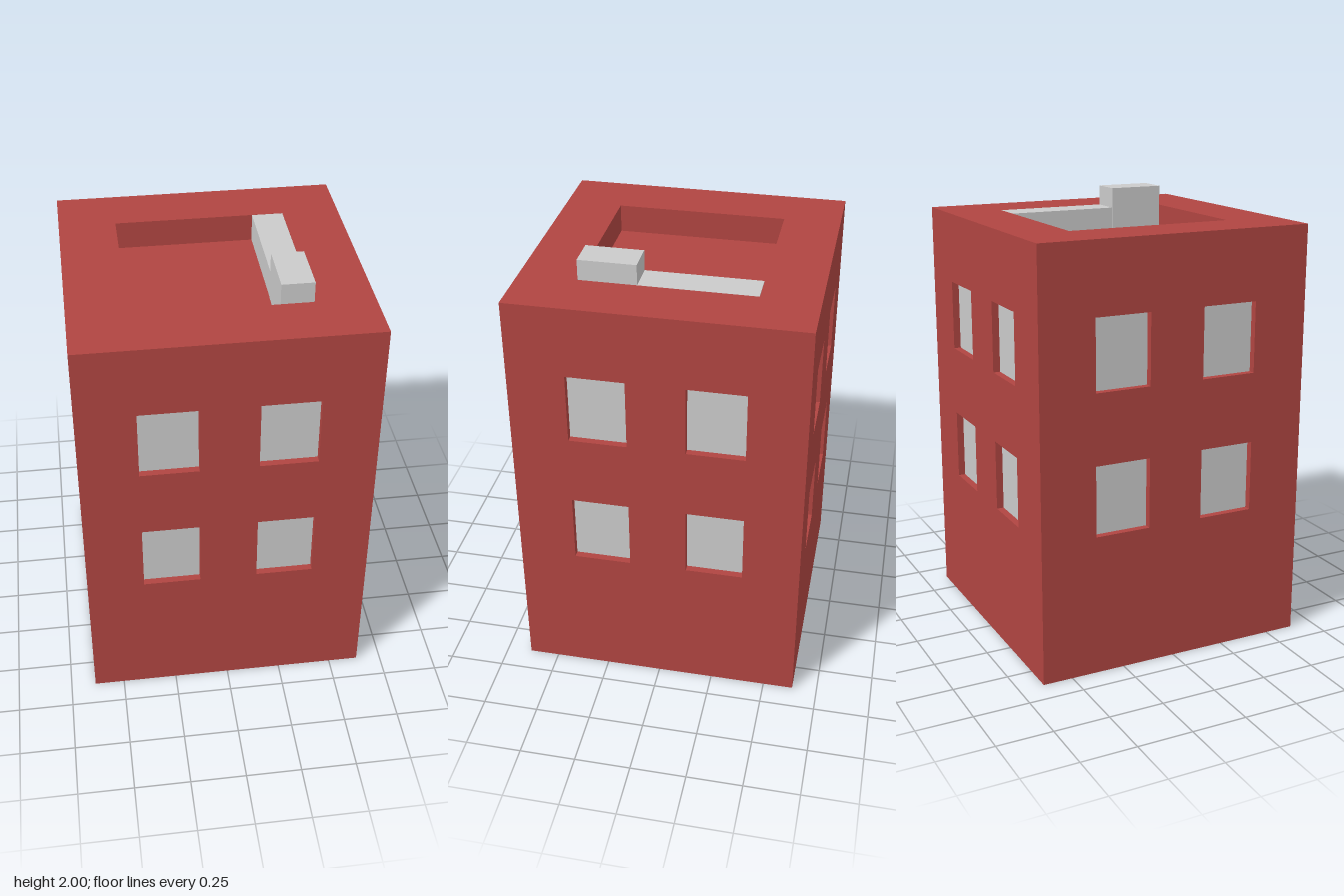
import * as THREE from 'three';

const W = 1.273, H = 1.909;           // building width and height
const brick = new THREE.MeshStandardMaterial({ name: 'red brick', color: 0xb04541, side: THREE.DoubleSide });
const grey = new THREE.MeshStandardMaterial({ name: 'light grey', color: 0xcacaca, side: THREE.DoubleSide });

function add(parent, name, geometry, material, x = 0, y = 0, z = 0) {
  const mesh = new THREE.Mesh(geometry, material);
  mesh.name = name;
  mesh.position.set(x, y, z);
  parent.add(mesh);
  return mesh;
}

// Flat sheet facing +z, with rectangular openings [cx, cy, w, h] sunk to a given depth
function recessedPanel(name, w, h, openings, depth, backName, backMaterial) {
  const panel = new THREE.Group();
  panel.name = name;
  const rect = (Type, cx, cy, rw, rh) => new Type([[-1, -1], [1, -1], [1, 1], [-1, 1]]
    .map(([sx, sy]) => new THREE.Vector2(cx + sx * rw / 2, cy + sy * rh / 2)));
  const shape = rect(THREE.Shape, 0, 0, w, h);
  for (const [cx, cy, ow, oh] of openings) {
    shape.holes.push(rect(THREE.Path, cx, cy, ow, oh));
    for (const s of [-1, 1]) {
      add(panel, 'reveal', new THREE.PlaneGeometry(ow, depth).rotateX(s * Math.PI / 2), brick,
        cx, cy + s * oh / 2, -depth / 2);
      add(panel, 'reveal', new THREE.PlaneGeometry(depth, oh).rotateY(-s * Math.PI / 2), brick,
        cx + s * ow / 2, cy, -depth / 2);
    }
    add(panel, backName, new THREE.PlaneGeometry(ow, oh), backMaterial, cx, cy, -depth);
  }
  add(panel, name + 'Surface', new THREE.ShapeGeometry(shape), brick);
  return panel;
}

export function createModel() {
  const model = new THREE.Group();
  model.name = 'building';

  // Four walls, each with two rows of two sunken windows
  const windows = [];
  for (const x of [-0.255, 0.255])
    for (const y of [0.796, 1.432]) windows.push([x, y - H / 2, 0.255, 0.318]);
  ['frontWall', 'rightWall', 'backWall', 'leftWall'].forEach((name, i) => {
    const wall = recessedPanel(name, W, H, windows, 0.032, 'windowPane', grey);
    const angle = -i * Math.PI / 2;
    wall.rotation.y = angle;
    wall.position.set(Math.sin(angle) * W / 2, H / 2, Math.cos(angle) * W / 2);
    model.add(wall);
  });

  // Roof with a sunken square terrace
  const roof = recessedPanel('roof', W, W, [[0, 0, 0.764, 0.764]], 0.127, 'roofFloor', brick);
  roof.rotation.x = -Math.PI / 2;
  roof.position.y = H;
  model.add(roof);

  // Long low duct and the taller block at its front end
  const floor = H - 0.127;
  add(model, 'roofDuct', new THREE.BoxGeometry(0.14, 0.126, 0.508), grey, 0.311, floor + 0.064, -0.127);
  add(model, 'roofVent', new THREE.BoxGeometry(0.141, 2 - floor - 0.001, 0.253), grey,
    0.31, (2 + floor + 0.001) / 2, 0.2535);
  return model;
}
